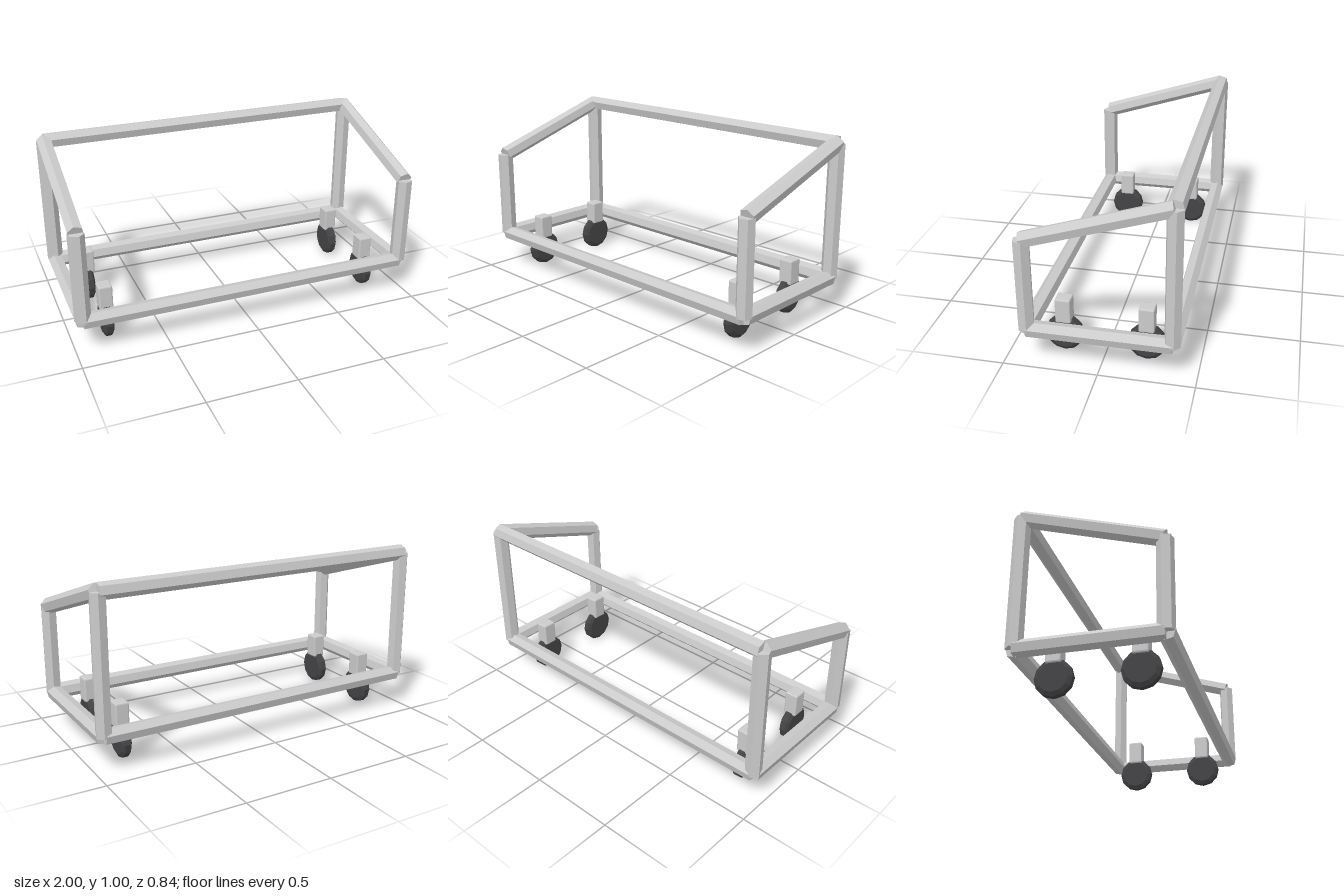
import * as THREE from 'three';
import { RoundedBoxGeometry } from 'three/addons/geometries/RoundedBoxGeometry.js';

const TUBE_R = 0.045;
const X = 0.955, Z = 0.375;                    // tube centre lines
const LOW = 0.205, MID = 0.715, HIGH = 0.955;  // corner heights

const frameMat = new THREE.MeshStandardMaterial({ color: 0xcccccc, flatShading: true });
const wheelMat = new THREE.MeshStandardMaterial({ color: 0x444446, flatShading: true });

// Six-sided tube from a to b, with one long edge pointing along "edge"
function tube(name, a, b, edge) {
  const start = new THREE.Vector3(...a), end = new THREE.Vector3(...b);
  const along = end.clone().sub(start);
  const length = along.length();
  along.normalize();
  const out = new THREE.Vector3(...edge);
  out.addScaledVector(along, -out.dot(along)).normalize();
  const side = new THREE.Vector3().crossVectors(along, out);
  const mesh = new THREE.Mesh(new THREE.CylinderGeometry(TUBE_R, TUBE_R, length, 6), frameMat);
  mesh.quaternion.setFromRotationMatrix(new THREE.Matrix4().makeBasis(side, along, out));
  mesh.position.copy(start).add(end).multiplyScalar(0.5);
  mesh.name = name;
  return mesh;
}

// Twelve-sided wheel with bevelled rims, axle along x
function wheelGeometry() {
  const profile = [[0, -0.028], [0.08, -0.028], [0.101, -0.016], [0.101, 0.016], [0.08, 0.028], [0, 0.028]]
    .map(([r, h]) => new THREE.Vector2(r, h));
  return new THREE.LatheGeometry(profile, 12).rotateZ(Math.PI / 2);
}

export function createModel() {
  const model = new THREE.Group();
  model.name = 'wheeledFrame';

  // Long rails
  model.add(
    tube('frontLowerRail', [-X, LOW, Z], [X, LOW, Z], [0, -1, 1]),
    tube('backLowerRail', [-X, LOW, -Z], [X, LOW, -Z], [0, -1, -1]),
    tube('backUpperRail', [-X, HIGH, -Z], [X, HIGH, -Z], [0, 1, -1])
  );

  const wheelGeo = wheelGeometry();
  const blockGeo = new RoundedBoxGeometry(0.077, 0.14, 0.083, 1, 0.008);

  for (const [side, s] of [['left', 1], ['right', -1]]) {
    // End frame: posts, lower rail and sloping rail
    const x = s * X;
    model.add(
      tube(side + 'FrontPost', [x, LOW, Z], [x, MID, Z], [s, 0, 1]),
      tube(side + 'BackPost', [x, LOW, -Z], [x, HIGH, -Z], [s, 0, 1]),
      tube(side + 'LowerRail', [x, LOW, -Z], [x, LOW, Z], [s, -1, 0]),
      tube(side + 'SlopingRail', [x, MID, Z], [x, HIGH, -Z], [s, -1, 0])
    );

    // Casters
    for (const [end, z] of [['Front', 0.22], ['Back', -0.22]]) {
      const caster = new THREE.Group();
      caster.name = side + end + 'Caster';
      const block = new THREE.Mesh(blockGeo, frameMat);
      block.name = 'casterBlock';
      block.position.y = 0.245;
      const wheel = new THREE.Mesh(wheelGeo, wheelMat);
      wheel.name = 'wheel';
      wheel.position.y = 0.101;
      caster.add(block, wheel);
      caster.position.set(s * 0.8, 0, z);
      model.add(caster);
    }
  }
  return model;
}
